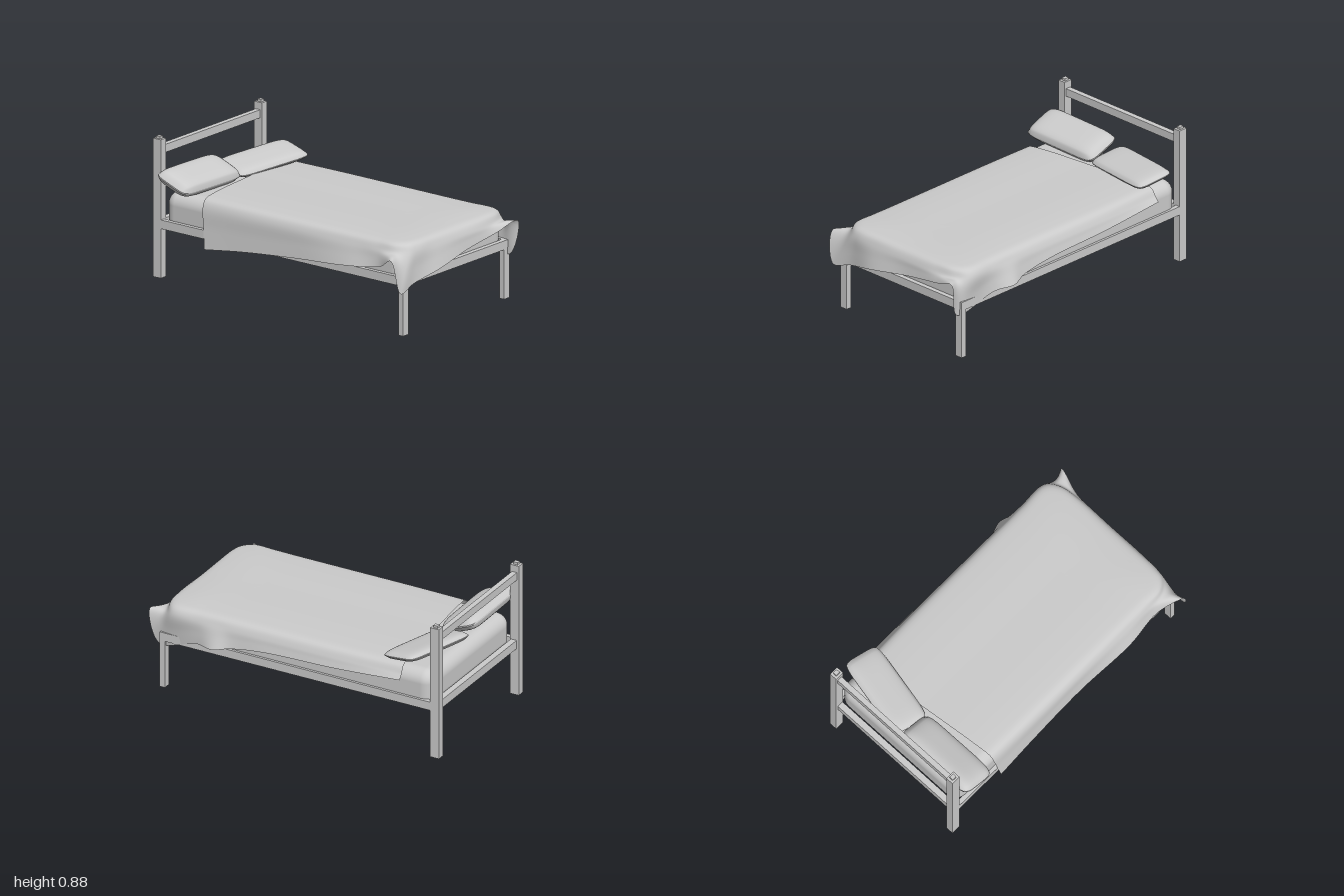
import * as THREE from 'three';
import { RoundedBoxGeometry } from 'three/addons/geometries/RoundedBoxGeometry.js';

const grey = new THREE.MeshStandardMaterial({ color: 0xcccccc });
const cloth = new THREE.MeshStandardMaterial({ color: 0xcccccc, side: THREE.DoubleSide });
const V = (x, y, z) => new THREE.Vector3(x, y, z);

// Box given by its minimum and maximum on each axis
function slab(name, x0, x1, y0, y1, z0, z1) {
  const mesh = new THREE.Mesh(new THREE.BoxGeometry(x1 - x0, y1 - y0, z1 - z0), grey);
  mesh.position.set((x0 + x1) / 2, (y0 + y1) / 2, (z0 + z1) / 2);
  mesh.name = name;
  return mesh;
}

function createFrame() {
  const frame = new THREE.Group();
  frame.name = 'frame';
  for (const z of [-0.495, 0.465]) {
    frame.add(slab('headPost', -1, -0.94, 0, 0.865, z - 0.025, z + 0.025));
    frame.add(slab('postCap', -0.985, -0.955, 0.865, 0.88, z - 0.013, z + 0.013));
    frame.add(slab('footLeg', 0.885, 0.92, 0, 0.365, z - 0.025, z + 0.025));
    const outer = z + Math.sign(z) * 0.01;
    frame.add(slab('sideRail', -0.94, 0.885, 0.31, 0.365, outer - 0.015, outer + 0.015));
  }
  frame.add(slab('headboardRail', -0.987, -0.953, 0.77, 0.82, -0.47, 0.44));
  frame.add(slab('headRail', -0.985, -0.945, 0.31, 0.365, -0.47, 0.44));
  frame.add(slab('footRail', 0.89, 0.92, 0.31, 0.365, -0.47, 0.44));
  return frame;
}

// Rounded mattress with a slightly sagging underside
function createMattress() {
  const mesh = new THREE.Mesh(new RoundedBoxGeometry(1.83, 0.245, 0.97, 6, 0.08), grey);
  mesh.position.set(-0.025, 0.417, -0.02);
  mesh.name = 'mattress';
  return mesh;
}

// Blanket: profiles from a centre spine, over the mattress edge and down to the hem.
// Each row: edge x, edge z, then hem x, y, z, going round from head to foot to head.
const drape = [
  [-0.74, -0.515, -0.74, 0.47, -0.54],
  [-0.3, -0.525, -0.3, 0.44, -0.545],
  [0.2, -0.525, 0.2, 0.42, -0.545],
  [0.42, -0.525, 0.42, 0.39, -0.55],
  [0.53, -0.525, 0.53, 0.37, -0.58],
  [0.66, -0.525, 0.66, 0.36, -0.54],
  [0.85, -0.52, 0.94, 0.28, -0.5],
  [0.91, -0.45, 0.995, 0.5, -0.51],
  [0.93, -0.3, 0.955, 0.45, -0.35],
  [0.93, -0.05, 0.945, 0.41, -0.1],
  [0.93, 0.2, 0.965, 0.36, 0.2],
  [0.925, 0.35, 0.93, 0.31, 0.4],
  [0.905, 0.42, 0.94, 0.28, 0.54],
  [0.84, 0.475, 0.9, 0.48, 0.575],
  [0.7, 0.48, 0.75, 0.405, 0.51],
  [0.5, 0.48, 0.5, 0.37, 0.525],
  [0.1, 0.48, 0.1, 0.33, 0.5],
  [-0.3, 0.48, -0.3, 0.29, 0.5],
  [-0.63, 0.475, -0.595, 0.25, 0.505],
];

function createBlanket() {
  const edge = new THREE.CatmullRomCurve3(drape.map(([x, z]) => V(x, 0.5, z)));
  const hem = new THREE.CatmullRomCurve3(drape.map(([, , x, y, z]) => V(x, y, z)));
  const rows = 144, cols = 24, points = [], index = [];
  for (let i = 0; i <= rows; i++) {
    const e = edge.getPoint(i / rows), h = hem.getPoint(i / rows);
    const k = THREE.MathUtils.clamp((e.x + 0.63) / 1.13, 0, 1);
    const spine = V(THREE.MathUtils.lerp(-0.685, 0.5, k), 0.563, -0.02);
    const inward = spine.clone().sub(e).setY(0).normalize();
    const at = (inset, y) => e.clone().addScaledVector(inward, inset).setY(y);
    const profile = new THREE.CatmullRomCurve3(
      [spine, at(0.13, 0.56), at(0.03, 0.545), e, e.clone().lerp(h, 0.5), h]);
    for (let j = 0; j <= cols; j++) {
      const p = profile.getPoint(j / cols);
      points.push(p.x, p.y, p.z);
      if (i < rows && j < cols) {
        const a = i * (cols + 1) + j, b = a + cols + 1;
        index.push(a, b, a + 1, b, b + 1, a + 1);
      }
    }
  }
  const geometry = new THREE.BufferGeometry();
  geometry.setAttribute('position', new THREE.Float32BufferAttribute(points, 3));
  geometry.setIndex(index);
  geometry.computeVertexNormals();
  const mesh = new THREE.Mesh(geometry, cloth);
  mesh.name = 'blanket';
  return mesh;
}

// Pillow: box puffed in the middle, thin at the seam, sides drawn slightly inward
function createPillow(name, width, thickness, length, position, rotation) {
  const geometry = new THREE.BoxGeometry(2, 2, 2, 20, 1, 28);
  const p = geometry.attributes.position;
  for (let i = 0; i < p.count; i++) {
    const u = p.getX(i), v = p.getZ(i);
    const puff = 0.08 + 0.92 * Math.sqrt(Math.max(0, (1 - u ** 4) * (1 - v ** 6)));
    p.setXYZ(i,
      u * width / 2 * (1 - 0.1 * v ** 8),
      p.getY(i) * thickness / 2 * puff,
      v * length / 2 * (1 - 0.06 * u ** 6));
  }
  geometry.computeVertexNormals();
  const mesh = new THREE.Mesh(geometry, grey);
  mesh.position.set(...position);
  mesh.rotation.set(...rotation, 'YXZ');
  mesh.name = name;
  return mesh;
}

export function createModel() {
  const bed = new THREE.Group();
  bed.name = 'bed';
  bed.add(createFrame(), createMattress(), createBlanket());
  bed.add(createPillow('leftPillow', 0.25, 0.1, 0.55, [-0.825, 0.612, 0.27], [-0.02, 0, -0.36]));
  bed.add(createPillow('rightPillow', 0.25, 0.06, 0.54, [-0.775, 0.598, -0.275], [0.06, -0.2, -0.18]));
  return bed;
}
